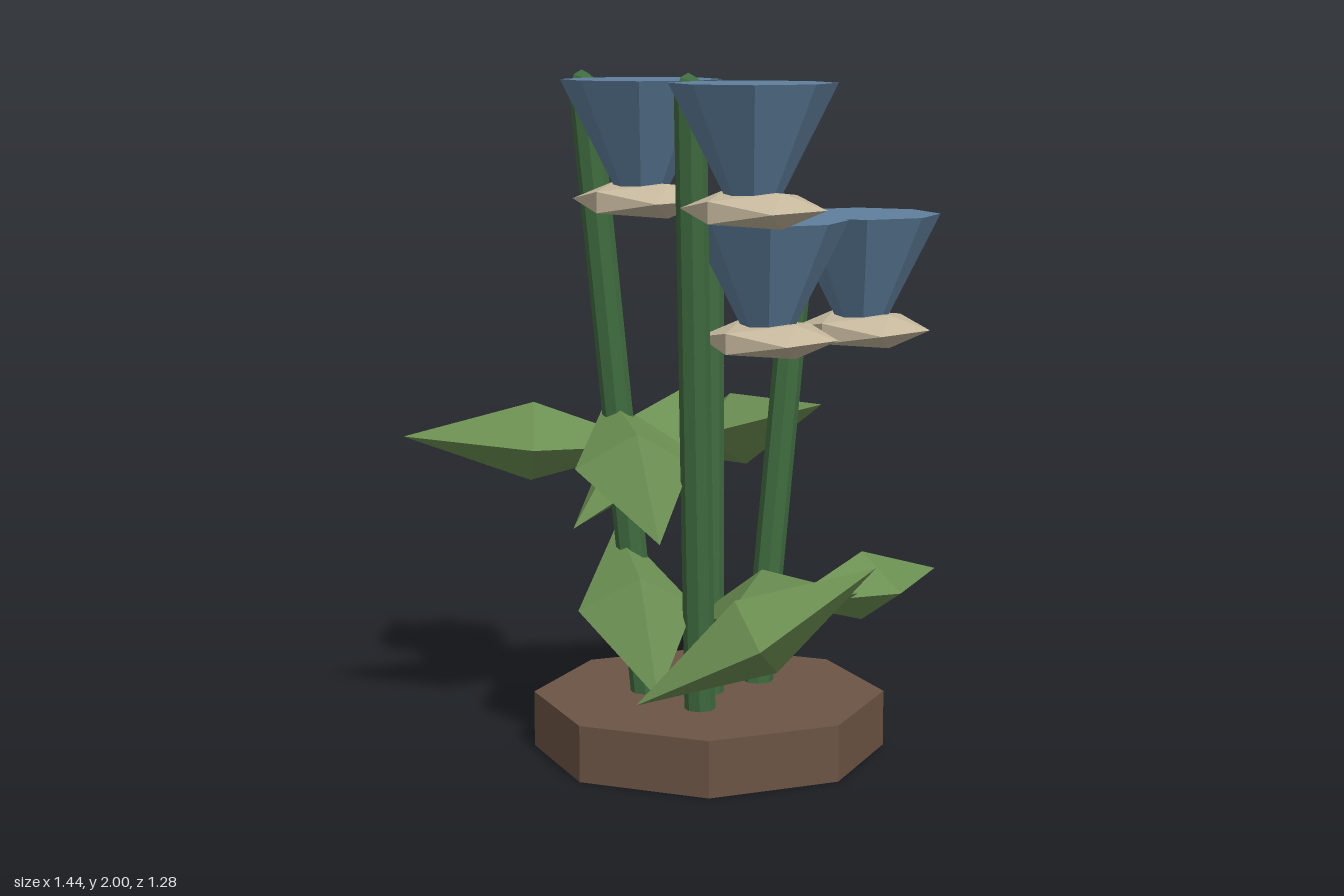
import * as THREE from 'three';

const mat = (color) => new THREE.MeshStandardMaterial({ color, flatShading: true });
const V = (p) => new THREE.Vector3(...p);

export function createModel() {
  const model = new THREE.Group();
  const soil = mat(0x6b5444), stemGreen = mat(0x3f6b3f), leafGreen = mat(0x6b8f52);
  const petalBlue = mat(0x5f7f9c), sepalTan = mat(0xc4b79c);

  const add = (parent, name, geometry, material, pos = [0, 0, 0]) => {
    const mesh = new THREE.Mesh(geometry, material);
    mesh.name = name;
    mesh.position.set(...pos);
    parent.add(mesh);
    return mesh;
  };

  // Round eight-sided base
  add(model, 'base', new THREE.CylinderGeometry(0.52, 0.52, 0.165, 8), soil, [0.03, 0.0825, 0.1]);

  // Leaning stem between two points
  const addStem = (parent, from, to) => {
    const a = V(from), b = V(to), dir = b.clone().sub(a);
    const stem = add(parent, 'stem', new THREE.CylinderGeometry(0.045, 0.045, dir.length(), 8), stemGreen);
    stem.position.copy(a).add(b).multiplyScalar(0.5);
    stem.quaternion.setFromUnitVectors(new THREE.Vector3(0, 1, 0), dir.normalize());
  };

  // Diamond leaf: stretched octahedron from inner tip to outer tip, width kept level
  const addLeaf = (parent, name, inner, outer) => {
    const a = V(inner), b = V(outer), dir = b.clone().sub(a);
    const half = dir.length() / 2;
    dir.normalize();
    const side = dir.clone().cross(new THREE.Vector3(0, 1, 0)).normalize();
    const up = side.clone().cross(dir);
    const geo = new THREE.OctahedronGeometry(1).scale(half, half * 0.31, half * 0.46);
    const leaf = add(parent, name, geo, leafGreen);
    leaf.quaternion.setFromRotationMatrix(new THREE.Matrix4().makeBasis(dir, up, side));
    leaf.position.copy(a).add(b).multiplyScalar(0.5);
  };

  // Funnel bloom with a flattened sepal ring, hung beside the stem top
  const addBloom = (parent, [x, y, z]) => {
    const hook = new THREE.ConeGeometry(0.042, 0.085, 8).rotateZ(-Math.PI / 2);
    add(parent, 'stemHook', hook, stemGreen, [x + 0.035, y - 0.012, z]);
    add(parent, 'petalFunnel', new THREE.CylinderGeometry(0.228, 0.055, 0.345, 8), petalBlue,
      [x + 0.24, y - 0.165, z]);
    const ring = new THREE.IcosahedronGeometry(0.203).scale(1, 0.28, 1);
    add(parent, 'sepalRing', ring, sepalTan, [x + 0.24, y - 0.33, z]);
  };

  // Four plants: stem ends, then [inner tip, outer tip] of upper and lower leaf
  const plants = [
    { name: 'leftFlower', foot: [-0.1, 0.05, 0.22], top: [-0.237, 1.97, 0.34],
      upper: [[-0.23, 0.87, 0.05], [-0.72, 0.91, 0.64]],
      lower: [[-0.26, 0.645, 0.2], [0.28, 0.28, 0.55]] },
    { name: 'rightFlower', foot: [0.135, 0.05, 0.24], top: [0.24, 1.97, 0.38],
      upper: [[-0.27, 1.04, 0.22], [0.3, 0.72, 0.56]],
      lower: [[0.275, 0.275, 0.63], [0.72, 0.655, 0.14]] },
    { name: 'middleFlower', foot: [0.03, 0.05, 0.1], top: [0.03, 1.575, 0.1],
      upper: [[-0.21, 0.67, 0.42], [-0.22, 1.09, -0.22]],
      lower: [[-0.06, 0.36, 0.1], [0.645, 0.57, 0.13]] },
    { name: 'backFlower', foot: [0.045, 0.05, -0.08], top: [0.065, 1.575, -0.26],
      upper: [[0.14, 1.0, -0.27], [-0.55, 0.775, -0.26]],
      lower: [[0.27, 0.46, 0.03], [0.275, 0.46, -0.645]] },
  ];
  for (const p of plants) {
    const plant = new THREE.Group();
    plant.name = p.name;
    addStem(plant, p.foot, p.top);
    addLeaf(plant, 'upperLeaf', ...p.upper);
    addLeaf(plant, 'lowerLeaf', ...p.lower);
    addBloom(plant, p.top);
    model.add(plant);
  }
  return model;
}
